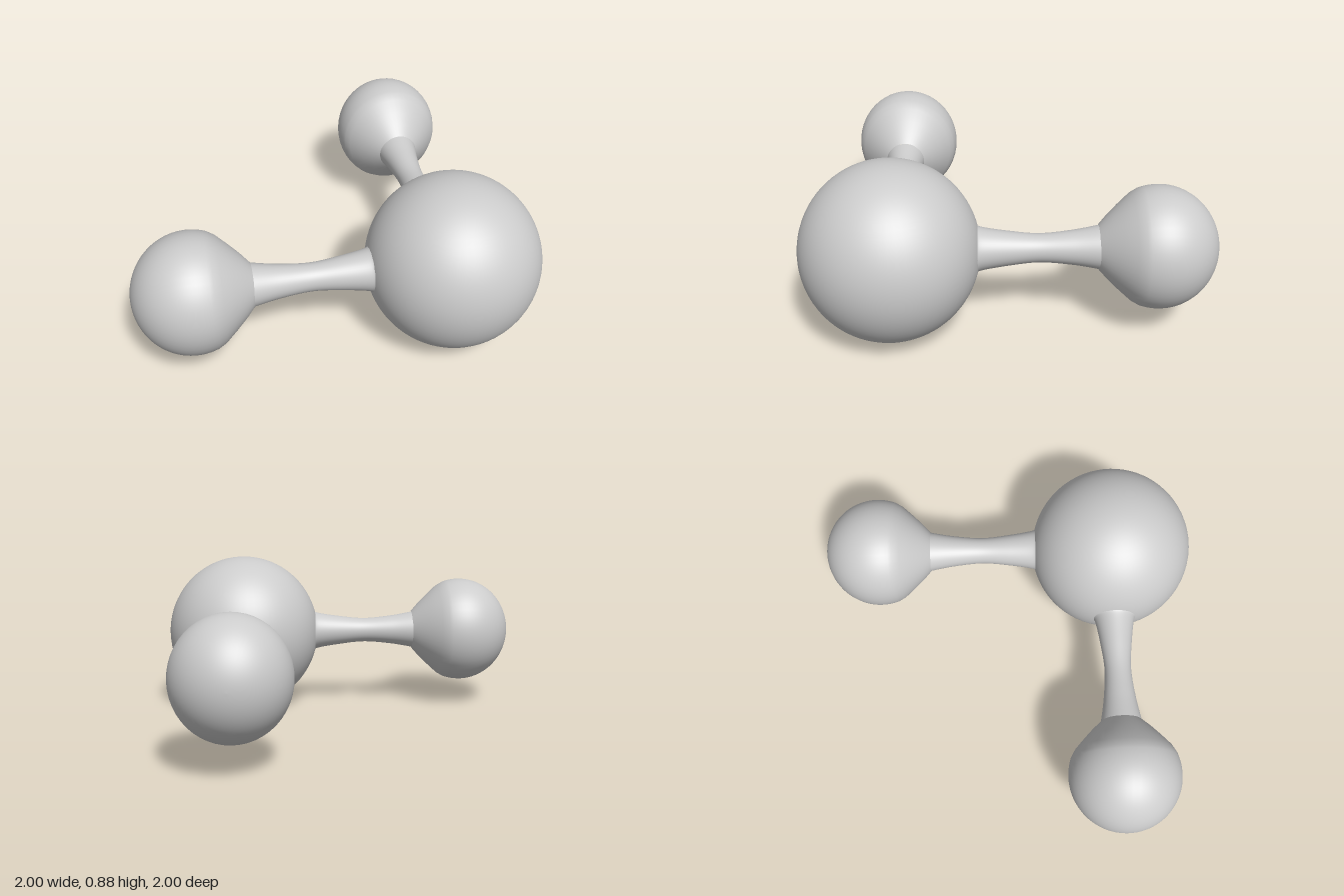
import * as THREE from 'three';

const material = new THREE.MeshStandardMaterial({ color: 0xcccccc });

// Turned part around +y from [radius, height] pairs
function turned(name, pairs) {
  const points = pairs.map(([r, h]) => new THREE.Vector2(r, h));
  const mesh = new THREE.Mesh(new THREE.LatheGeometry(points, 48), material);
  mesh.name = name;
  return mesh;
}

function smooth(pairs, count) {
  const curve = new THREE.SplineCurve(pairs.map(([r, h]) => new THREE.Vector2(r, h)));
  return curve.getPoints(count).map((p) => [p.x, p.y]);
}

// One arm pointing to -x from the large ball: waisted neck and small ball
function makeArm(name) {
  const arm = new THREE.Group();
  arm.name = name;

  const neck = turned('neck', smooth([
    [0.155, 0.39], [0.122, 0.412], [0.105, 0.432], [0.084, 0.56],
    [0.07, 0.71], [0.084, 0.87], [0.106, 0.995],
  ], 48));

  // Small ball, slightly pinched towards the neck
  const radius = 0.287;
  const profile = [[0.103, -0.286], [0.153, -0.24], [0.2, -0.19], [0.25, -0.133]];
  for (let i = 0; i <= 28; i++) {
    const a = -0.34 + (Math.PI / 2 + 0.34) * (i / 28);
    profile.push([Math.max(0, radius * Math.cos(a)), radius * Math.sin(a)]);
  }
  const ball = turned('smallBall', profile);
  ball.position.y = 1.278;
  ball.scale.x = 1.05;

  const axis = new THREE.Group();
  axis.name = name + 'Axis';
  axis.rotation.z = Math.PI / 2;
  axis.add(neck, ball);
  arm.add(axis);
  return arm;
}

export function createModel() {
  const model = new THREE.Group();
  model.name = 'threeBallJoint';

  // Large corner ball, a touch taller than wide
  const hub = new THREE.Mesh(new THREE.SphereGeometry(0.432, 64, 40), material);
  hub.name = 'largeBall';
  hub.scale.y = 0.44 / 0.432;

  const sideArm = makeArm('sideArm');
  const backArm = makeArm('backArm');
  backArm.rotation.y = -Math.PI / 2;

  const body = new THREE.Group();
  body.name = 'body';
  body.position.set(0.565, 0.44, 0.565);
  body.add(hub, sideArm, backArm);
  model.add(body);
  return model;
}
